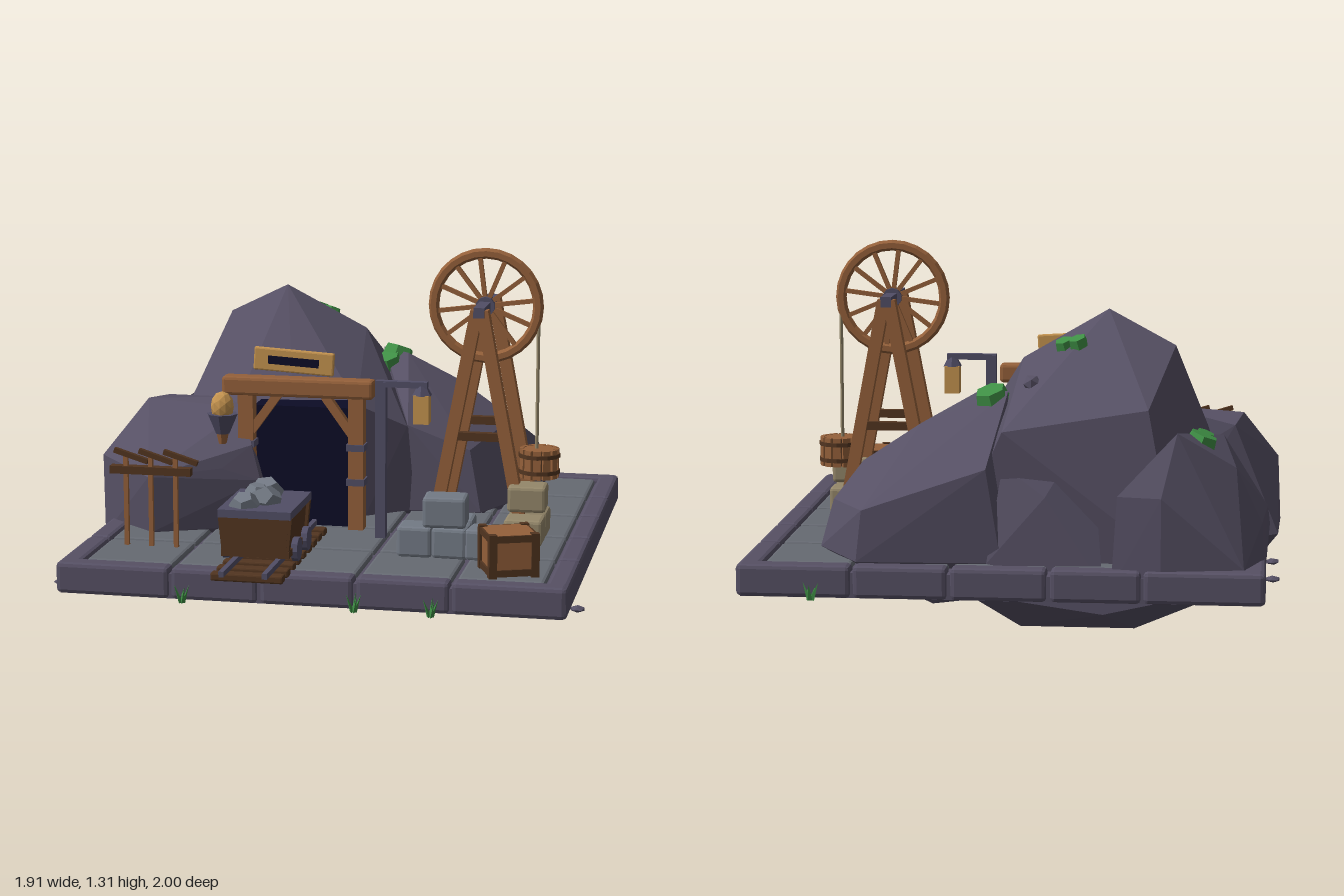
import * as THREE from 'three';
import { ConvexGeometry } from 'three/addons/geometries/ConvexGeometry.js';
import { RoundedBoxGeometry } from 'three/addons/geometries/RoundedBoxGeometry.js';

const colours = {
  rock: 0x565064, floor: 0x666a72, wood: 0x94603a, darkWood: 0x523520, tan: 0xc4934f,
  tunnelBlack: 0x0c0c26, moss: 0x3f8f45, greyStone: 0x737a85, beigeStone: 0x94876a, metal: 0x514e66,
};

export function createModel() {
  const root = new THREE.Group();
  const mats = {};
  for (const [name, color] of Object.entries(colours)) {
    mats[name] = new THREE.MeshStandardMaterial({ color });
    mats[name].name = name;
  }
  const V = (x, y, z) => new THREE.Vector3(x, y, z);
  const group = (name, x = 0, y = 0, z = 0, ry = 0) => {
    const g = new THREE.Group();
    g.name = name;
    g.position.set(x, y, z);
    g.rotation.y = ry;
    root.add(g);
    return g;
  };
  // every part gets hard facets
  const add = (parent, name, geo, mat, pos = [0, 0, 0], rot = [0, 0, 0]) => {
    const g = geo.index ? geo.toNonIndexed() : geo;
    g.computeVertexNormals();
    const m = new THREE.Mesh(g, mats[mat]);
    m.name = name;
    m.position.set(...pos);
    m.rotation.set(...rot);
    parent.add(m);
    return m;
  };
  const box = (p, name, mat, size, pos, rot) => add(p, name, new THREE.BoxGeometry(...size), mat, pos, rot);
  const block = (p, name, mat, size, pos, rot, r = 0.012) =>
    add(p, name, new RoundedBoxGeometry(...size, 1, r), mat, pos, rot);
  const cyl = (p, name, mat, r1, r2, h, n, pos, rot) =>
    add(p, name, new THREE.CylinderGeometry(r1, r2, h, n), mat, pos, rot);
  // square beam between two points
  const beam = (p, name, mat, a, b, t) => {
    const d = b.clone().sub(a);
    const m = box(p, name, mat, [t, d.length(), t], a.clone().add(b).multiplyScalar(0.5).toArray());
    m.quaternion.setFromUnitVectors(V(0, 1, 0), d.normalize());
    return m;
  };

  // base slab, floor tiles and border stones
  const base = group('base');
  box(base, 'slab', 'rock', [1.78, 0.088, 1.78], [0, 0.203, -0.06]);
  const cut = [-0.825, -0.49, -0.17, 0.17, 0.505, 0.825];
  for (let i = 0; i < 5; i++) for (let j = 0; j < 5; j++)
    block(base, 'floorTile', 'floor', [cut[i + 1] - cut[i] - 0.018, 0.05, cut[j + 1] - cut[j] - 0.018],
      [(cut[i] + cut[i + 1]) / 2, 0.242, (cut[j] + cut[j + 1]) / 2 - 0.06]);
  const edge = [-0.904, -0.49, -0.17, 0.17, 0.505, 0.904];
  for (let i = 0; i < 5; i++) for (const s of [-1, 1]) {
    const mid = (edge[i] + edge[i + 1]) / 2, len = edge[i + 1] - edge[i] - (i % 4 ? 0.012 : 0.006);
    block(base, 'borderStone', 'rock', [len, 0.112, 0.08], [mid, 0.215, s * 0.864 - 0.06], [0, 0, 0], 0.015);
    block(base, 'borderStone', 'rock', [0.08, 0.11, len], [s * 0.864, 0.215, mid - 0.06], [0, 0, 0], 0.015);
  }

  // mountain made of overlapping faceted boulders
  const mountain = group('mountain');
  const boulders = {
    mainPeak: [[-.34, 1.1, -.38], [-.58, .98, -.45], [-.04, .93, -.44], [-.25, .88, -.66], [-.5, .8, -.82],
      [0, .72, -.83], [-.69, .68, -.3], [-.73, .52, -.06], [-.45, .7, 0], [-.22, .64, .05], [0, .7, -.05],
      [.17, .6, -.17], [-.7, .27, -.1], [.03, .27, -.06], [.2, .27, -.2], [.2, .27, -.75], [-.6, .27, -.86]],
    underside: [[-.87, .15, -.05], [-.85, .15, -.55], [-.45, .01, -.25], [-.05, 0, -.25], [-.05, .01, -.68],
      [-.45, .01, -.68], [-.6, .16, .1], [-.3, .16, .2], [.05, .16, .08], [.12, .16, -.85], [-.6, .16, -.88],
      [-.35, .1, -.87], [0, .2, -.5]],
    rightShoulder: [[0, .83, -.6], [.11, .82, -.53], [.31, .71, -.58], [.52, .57, -.56], [.6, .46, -.72],
      [.64, .3, -.76], [.63, .27, -.6], [.45, .27, -.2], [.4, .5, -.25], [.17, .6, -.19], [.14, .27, -.18],
      [0, .27, -.86], [.5, .27, -.88], [.48, .45, -.88], [.05, .6, -.89], [.06, .07, -.5], [.45, .12, -.5], [.25, .1, -.75]],
    leftBoulder: [[-.96, .27, .05], [-.95, .5, .1], [-.82, .69, -.08], [-.79, .67, -.27], [-.5, .71, -.06],
      [-.41, .69, .05], [-.35, .58, .19], [-.315, .45, .2], [-.38, .27, .19], [-.27, .27, .15], [-.69, .27, .34],
      [-.7, .48, .36], [-.45, .5, .25], [-.95, .26, -.2], [-.94, .2, .12], [-.88, .13, 0], [-.5, .13, .05]],
    backBoulder: [[-.6, .73, -.86], [-.55, .52, -.95], [-.83, .27, -.9], [-.4, .52, -.92], [-.38, .2, -.92],
      [-.55, .18, -.95], [-.8, .6, -.77], [-.75, .64, -.3], [-.92, .3, -.2], [-.91, .42, -.5], [-.91, .2, -.3],
      [-.9, .2, -.7], [-.83, .18, -.88], [-.89, .4, -.72]],
    backRib: [[-.3, .75, -.78], [-.15, .5, -.85], [.05, .27, -.87], [-.35, .2, -.87], [0, .6, -.8], [-.1, .2, -.6]],
  };
  const rocks = Object.entries(boulders).map(([name, pts]) =>
    add(mountain, name, new ConvexGeometry(pts.map((p) => V(...p))), 'rock'));
  box(mountain, 'tunnelMouth', 'tunnelBlack', [0.37, 0.45, 0.2], [-0.175, 0.49, 0.0]);
  add(mountain, 'looseRock', new THREE.IcosahedronGeometry(0.033, 0), 'rock', [-0.085, 0.86, -0.62]);

  // moss patches laid on the slopes
  const ray = new THREE.Raycaster();
  for (const [x, z, r, s] of [[-.68, -.69, .06, 1], [-.685, -.615, .038, 1.3], [.06, -.585, .064, 1], [.035, -.525, .052, 1],
    [-.24, -.51, .037, 1], [-.19, -.485, .037, 1]]) {
    ray.set(V(x, 3, z), V(0, -1, 0));
    const hit = ray.intersectObjects(rocks)[0];
    const m = cyl(mountain, 'mossPatch', 'moss', r * 0.85, r, 0.045, 6, hit.point.toArray());
    m.quaternion.setFromUnitVectors(V(0, 1, 0), hit.face.normal.clone().lerp(V(0, 1, 0), 0.35).normalize());
    m.scale.z = s;
  }

  // tunnel gate with braces, iron bands and sign
  const gate = group('tunnelGate', -0.17, 0, 0.14);
  for (const s of [-1, 1]) {
    box(gate, 'gatePost', 'wood', [0.057, 0.5, 0.057], [s * 0.208, 0.52, 0]);
    beam(gate, 'gateBrace', 'wood', V(s * 0.195, 0.62, 0), V(s * 0.09, 0.765, 0), 0.032);
    for (const y of [0.45, 0.58]) box(gate, 'ironBand', 'metal', [0.068, 0.025, 0.068], [s * 0.208, y, 0]);
  }
  block(gate, 'gateBeam', 'wood', [0.57, 0.07, 0.075], [-0.012, 0.797, 0]);
  const sign = group('sign', -0.185, 0.902, 0.197);
  sign.rotation.z = -0.06;
  block(sign, 'signBoard', 'tan', [0.3, 0.085, 0.022], [0, 0, 0], [0, 0, 0], 0.006);
  box(sign, 'signPanel', 'tunnelBlack', [0.19, 0.03, 0.006], [0, 0, 0.012]);

  // wall torch
  const torch = group('torch', -0.46, 0, 0.19);
  cyl(torch, 'torchCup', 'metal', 0.058, 0.026, 0.075, 8, [0, 0.658, 0]);
  cyl(torch, 'torchHandle', 'wood', 0.025, 0.015, 0.045, 8, [0, 0.605, 0]);
  add(torch, 'flame', new THREE.IcosahedronGeometry(0.044, 1), 'tan', [0, 0.722, 0]).scale.y = 1.3;

  // lamp post
  const lamp = group('lampPost', 0.15, 0, 0.25);
  box(lamp, 'lampPole', 'metal', [0.038, 0.58, 0.038], [0, 0.56, 0]);
  box(lamp, 'lampArm', 'metal', [0.19, 0.022, 0.03], [0.075, 0.842, 0]);
  cyl(lamp, 'lanternCap', 'metal', 0.018, 0.038, 0.035, 6, [0.15, 0.822, 0]);
  box(lamp, 'lanternGlass', 'tan', [0.057, 0.105, 0.057], [0.15, 0.754, 0]);

  // rails and sleepers
  const track = group('track', -0.185, 0, 0);
  for (let i = 0; i < 9; i++) block(track, 'sleeper', 'darkWood', [0.255, 0.028, 0.046], [0, 0.278, 0.245 + i * 0.0855], [0, 0, 0], 0.006);
  for (const s of [-1, 1]) box(track, 'rail', 'metal', [0.018, 0.02, 0.8], [s * 0.076, 0.302, 0.6]);

  // mine cart: a tapered tub with frame, lid plate, wheels and ore
  const cart = group('mineCart', -0.183, 0, 0.675);
  const tub = new THREE.BoxGeometry(0.24, 0.145, 0.31);
  const tp = tub.attributes.position;
  for (let i = 0; i < tp.count; i++) if (tp.getY(i) < 0) tp.setX(i, tp.getX(i) * 0.9);
  add(cart, 'tub', tub, 'darkWood', [0, 0.395, 0]);
  box(cart, 'rim', 'metal', [0.26, 0.028, 0.33], [0, 0.476, 0]);
  for (const s of [-1, 1]) {
    box(cart, 'lowerFrame', 'darkWood', [0.015, 0.025, 0.31], [s * 0.113, 0.335, 0]);
    for (const z of [-0.1, 0.055])
      cyl(cart, 'wheel', 'metal', 0.043, 0.043, 0.022, 10, [s * 0.125, 0.335, z], [0, 0, Math.PI / 2]);
    for (const z of [-0.142, 0.142])
      box(cart, 'tubBrace', 'darkWood', [0.014, 0.13, 0.025], [s * 0.118, 0.4, z], [0, 0, -s * 0.1]);
  }
  [[-.05, .495, .095, .056], [.01, .495, .03, .06], [-.03, .505, -.02, .05], [-.015, .5, -.085, .066]]
    .forEach(([x, y, z, r], i) => add(cart, 'ore', new THREE.DodecahedronGeometry(r), 'greyStone', [x, y, z], [i, i * 2, i]).scale.y = 0.85);

  // winding tower: two A-frames, axle and spoked wheel
  const tower = group('windingTower', 0.49, 0, -0.02);
  for (const z of [-0.157, 0.15]) {
    for (const s of [-1, 1]) beam(tower, 'towerLeg', 'wood', V(s * 0.17, 0.26, z), V(s * 0.01, 1.1, z), 0.045);
    box(tower, 'crossBar', 'darkWood', [0.19, 0.03, 0.03], [0, 0.635, z]);
  }
  box(tower, 'axle', 'metal', [0.04, 0.038, 0.36], [0, 1.095, 0]);
  const wheel = new THREE.Group();
  wheel.name = 'windingWheel';
  wheel.position.y = 1.096;
  tower.add(wheel);
  add(wheel, 'wheelRim', new THREE.TorusGeometry(0.194, 0.02, 6, 28), 'wood');
  cyl(wheel, 'hub', 'metal', 0.036, 0.036, 0.05, 10, [0, 0, 0], [Math.PI / 2, 0, 0]);
  for (let i = 0; i < 12; i++) {
    const a = (i * Math.PI) / 6 + 0.13;
    box(wheel, 'spoke', 'wood', [0.17, 0.016, 0.016], [Math.cos(a) * 0.11, Math.sin(a) * 0.11, 0], [0, 0, a]);
  }

  // rope and hanging bucket with staves and hoops
  const bucket = group('bucket', 0.695, 0, -0.022);
  cyl(bucket, 'rope', 'beigeStone', 0.007, 0.007, 0.55, 6, [-0.01, 0.825, 0]);
  cyl(bucket, 'pail', 'darkWood', 0.065, 0.062, 0.1, 12, [0, 0.515, 0]);
  for (let i = 0; i < 12; i++) {
    const a = (i * Math.PI) / 6;
    box(bucket, 'stave', 'wood', [0.029, 0.108, 0.014], [Math.sin(a) * 0.065, 0.515, Math.cos(a) * 0.065], [0, a, 0]);
  }
  for (const y of [0.485, 0.545]) cyl(bucket, 'hoop', 'darkWood', 0.078, 0.078, 0.015, 12, [0, y, 0]);
  cyl(bucket, 'bucketLid', 'wood', 0.058, 0.058, 0.012, 12, [0, 0.562, 0]);

  // stacked cut stones
  const stones = group('cutStones');
  for (const [x, y, z, ry, w, mat] of [[.32, .325, .465, 0, .125, 'greyStone'], [.447, .325, .465, -.04, .125, 'greyStone'],
    [.552, .325, .47, -.12, .09, 'greyStone'], [.43, .325, .32, .03, .155, 'greyStone'], [.425, .435, .465, .05, .155, 'greyStone'],
    [.675, .315, .22, 0, .14, 'beigeStone'], [.675, .315, .075, 0, .14, 'beigeStone'], [.675, .42, .14, .03, .14, 'beigeStone']])
    block(stones, 'cutStone', mat, [w, mat === 'greyStone' ? 0.11 : 0.095, 0.12], [x, y, z], [0, ry, 0]);

  // framed crate
  const crate = group('crate', 0.675, 0.345, 0.643, 0.38);
  box(crate, 'crateBody', 'wood', [0.16, 0.145, 0.16]);
  for (const a of [-1, 1]) for (const b of [-1, 1]) {
    box(crate, 'crateCorner', 'darkWood', [0.028, 0.154, 0.028], [a * 0.075, 0, b * 0.075]);
    box(crate, 'crateEdge', 'darkWood', [0.15, 0.024, 0.02], [0, a * 0.06, b * 0.077]);
    box(crate, 'crateEdge', 'darkWood', [0.02, 0.024, 0.15], [b * 0.077, a * 0.06, 0]);
  }

  // tool rack with three picks
  const rack = group('toolRack', -0.64, 0, 0.525);
  box(rack, 'rackRail', 'darkWood', [0.3, 0.028, 0.035], [0, 0.545, 0]);
  for (let i = -1; i <= 1; i++) {
    box(rack, 'pickHandle', 'wood', [0.016, 0.34, 0.016], [i * 0.092, 0.435, 0.004]);
    box(rack, 'pickHead', 'darkWood', [0.13, 0.018, 0.02], [i * 0.092 + 0.02, 0.597, 0.004], [0, 0, -0.3]);
  }

  // grass tufts and pebbles round the edge
  const edging = group('edging');
  for (const [x, z] of [[-.44, .86], [.17, .86], [.44, .87], [-.92, .62], [.64, -.975]])
    for (let i = 0; i < 5; i++)
      add(edging, 'grassBlade', new THREE.ConeGeometry(0.009, 0.065, 3), 'moss',
        [x + Math.cos(i * 2.4) * 0.016, 0.187, z + Math.sin(i * 2.4) * 0.016], [Math.sin(i * 2.4) * 0.35, 0, -Math.cos(i * 2.4) * 0.35]);
  for (const [x, z] of [[.925, .7], [-.925, .71], [-.93, -.54], [-.93, -.24]])
    add(edging, 'pebble', new THREE.IcosahedronGeometry(0.028, 0), 'rock', [x, 0.165, z], [0, x + z, 0]).scale.y = 0.4;

  return root;
}
